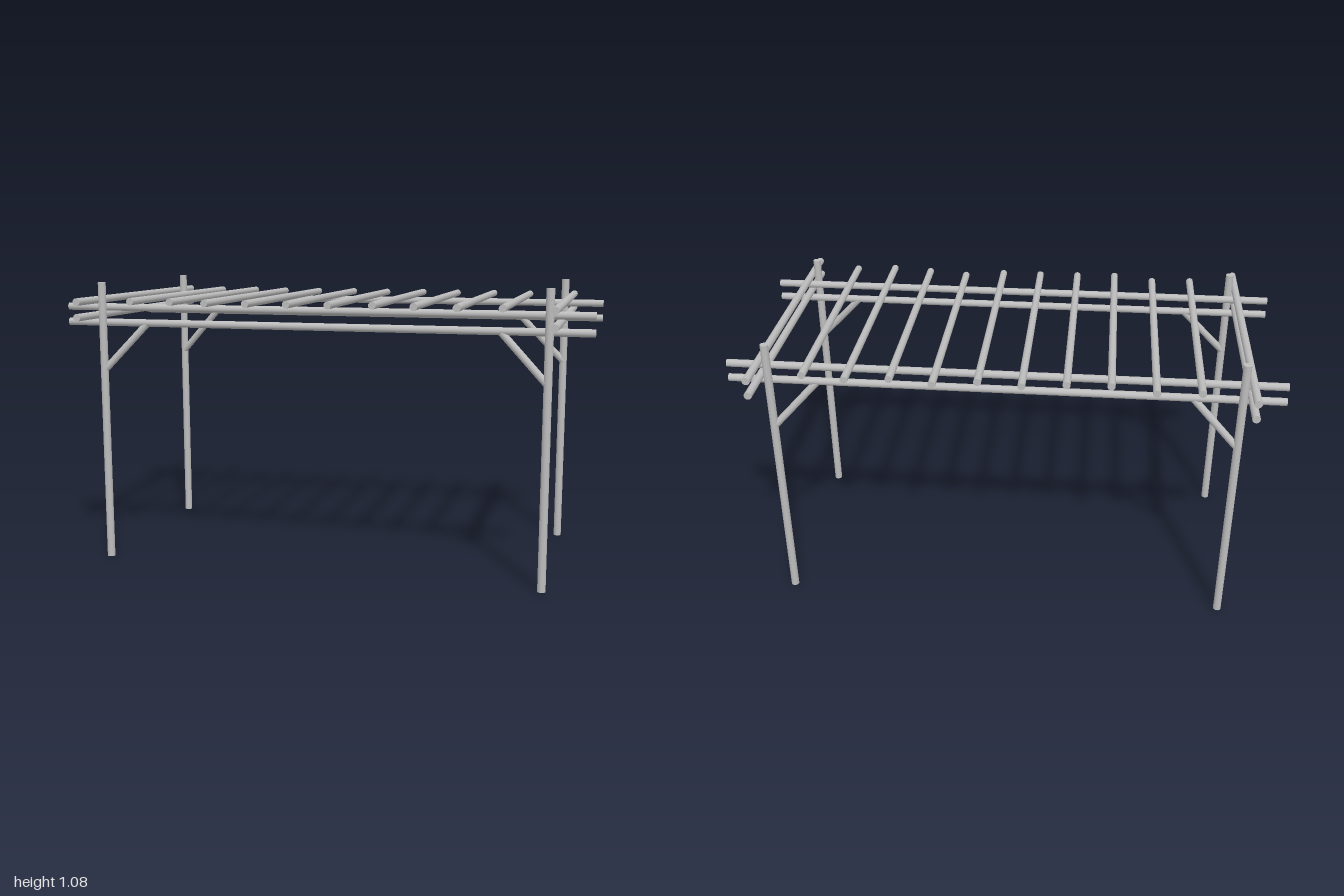
import * as THREE from 'three';

const wood = new THREE.MeshStandardMaterial({ color: 0xbcbcbc });
wood.name = 'greyWood';

// Round pole running between two points
function pole(name, from, to, radius = 0.0142) {
  const a = new THREE.Vector3(...from);
  const b = new THREE.Vector3(...to);
  const dir = b.clone().sub(a);
  const mesh = new THREE.Mesh(new THREE.CylinderGeometry(radius, radius, dir.length(), 20), wood);
  mesh.name = name;
  mesh.position.copy(a).add(b).multiplyScalar(0.5);
  mesh.quaternion.setFromUnitVectors(new THREE.Vector3(0, 1, 0), dir.normalize());
  return mesh;
}

export function createModel() {
  const pergola = new THREE.Group();
  pergola.name = 'pergola';

  const postX = 0.845, postZ = 0.386, beamZ = 0.357;

  // Corner posts with diagonal braces up to the lower beams
  for (const sx of [-1, 1]) {
    for (const sz of [-1, 1]) {
      pergola.add(pole('post', [sx * postX, 0, sz * postZ], [sx * postX, 1.08, sz * postZ], 0.015));
      pergola.add(pole('brace', [sx * 0.845, 0.743, sz * 0.384], [sx * 0.674, 0.924, sz * 0.356], 0.0135));
    }
  }

  // Paired long beams, just inside the posts
  for (const sz of [-1, 1]) {
    for (const y of [0.926, 0.985]) {
      pergola.add(pole('longBeam', [-1, y, sz * beamZ], [1, y, sz * beamZ]));
    }
  }

  // Paired cross beams, just outside the posts
  for (const sx of [-1, 1]) {
    for (const y of [0.955, 1.013]) {
      pergola.add(pole('crossBeam', [sx * 0.873, y, -0.538], [sx * 0.873, y, 0.538]));
    }
  }

  // Rafters with uneven ends: back z, front z
  const ends = [
    [-0.485, 0.463], [-0.498, 0.451], [-0.461, 0.491], [-0.466, 0.483], [-0.488, 0.479],
    [-0.472, 0.479], [-0.505, 0.446], [-0.479, 0.472], [-0.498, 0.491], [-0.479, 0.472],
  ];
  ends.forEach(([back, front], i) => {
    const x = (i - 4.5) * 0.154;
    pergola.add(pole('rafter', [x, 1.013, back], [x, 1.013, front], 0.0138));
  });

  return pergola;
}
